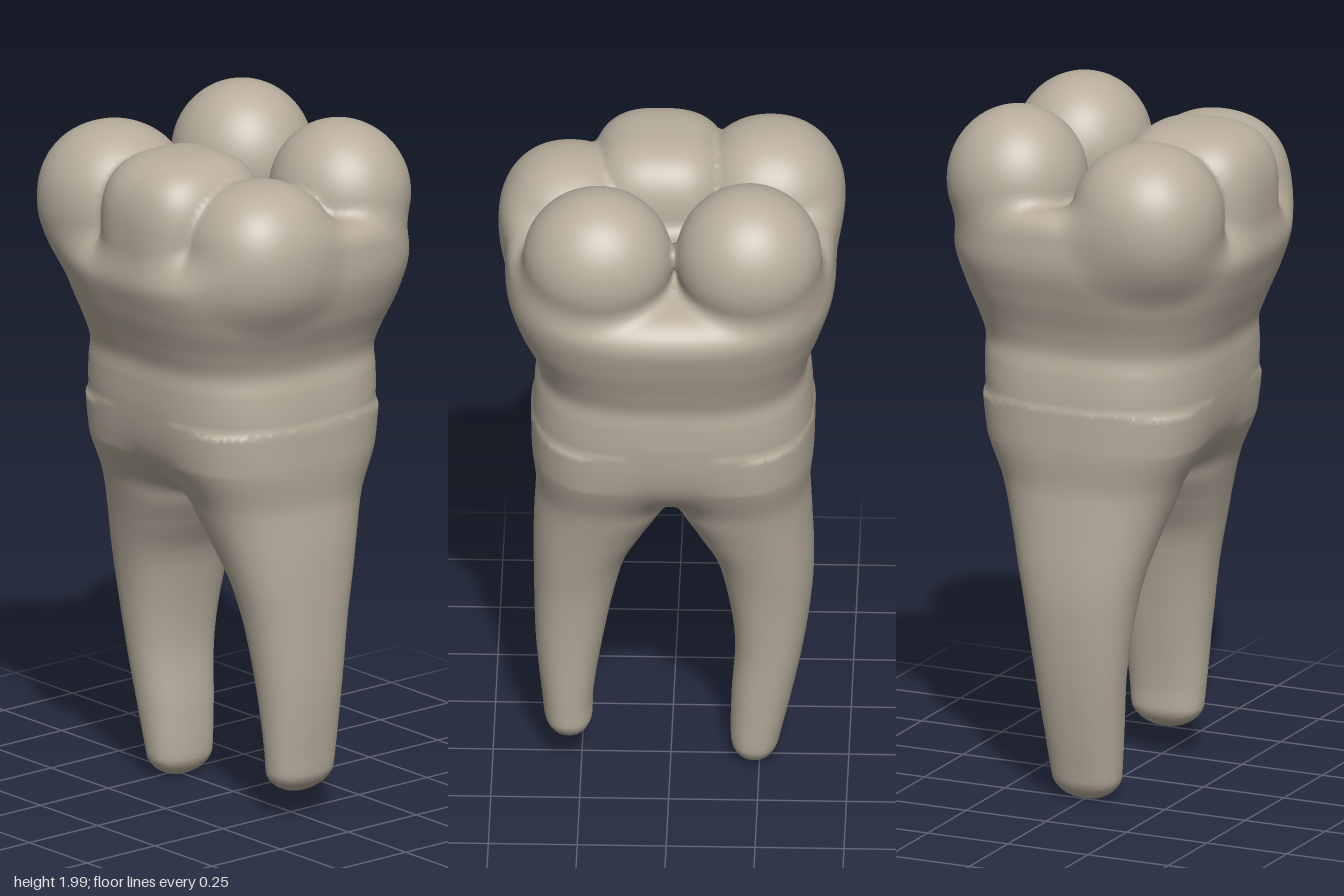
import * as THREE from 'three';

const enamel = new THREE.MeshStandardMaterial({ color: 0xb8ad9d });
enamel.name = 'warm ivory grey';

// Smooth blends between shapes
const smin = (a, b, k) => {
  const h = Math.max(k - Math.abs(a - b), 0) / k;
  return Math.min(a, b) - h * h * k * 0.25;
};
const smax = (a, b, k) => -smin(-a, -b, k);

// Smooth profile along the height, rows of [y, centre x, half width, half depth]
const profile = (rows) => new THREE.CubicInterpolant(
  rows.map((r) => r[0]), rows.flatMap((r) => r.slice(1)), 3);

const trunk = profile([
  [0.85, -0.006, 0.385, 0.23], [1.0, -0.007, 0.385, 0.292], [1.1, -0.007, 0.39, 0.328],
  [1.2, -0.007, 0.393, 0.345], [1.28, -0.007, 0.387, 0.349], [1.34, -0.007, 0.378, 0.35],
  [1.4, -0.005, 0.393, 0.37], [1.5, 0, 0.434, 0.408], [1.6, 0, 0.463, 0.434],
  [1.7, 0, 0.462, 0.425], [1.8, 0, 0.45, 0.405],
]);
const roots = [
  { tip: 0.005, shape: profile([
    [0, -0.235, 0.058, 0.092], [0.06, -0.236, 0.067, 0.101], [0.2, -0.2525, 0.0825, 0.115],
    [0.4, -0.2775, 0.0975, 0.135], [0.6, -0.275, 0.125, 0.165], [0.7, -0.261, 0.141, 0.188],
    [0.8, -0.23, 0.168, 0.216], [0.9, -0.2, 0.193, 0.248], [1.05, -0.195, 0.19, 0.298],
  ]) },
  { tip: 0.08, shape: profile([
    [0.07, 0.283, 0.054, 0.095], [0.13, 0.287, 0.066, 0.105], [0.2, 0.29, 0.071, 0.112],
    [0.4, 0.285, 0.095, 0.132], [0.6, 0.267, 0.118, 0.162], [0.7, 0.252, 0.134, 0.186],
    [0.8, 0.222, 0.163, 0.214], [0.9, 0.19, 0.19, 0.246], [1.05, 0.185, 0.188, 0.296],
  ]) },
];

// Cusps: centre, radii, roundness exponent
const backCusps = [
  { c: [-0.225, 1.79, -0.222], r: [0.205, 0.21, 0.198], n: 2 },
  { c: [0.2, 1.78, -0.222], r: [0.21, 0.205, 0.193], n: 2 },
];
const frontCusps = [
  { c: [-0.275, 1.735, 0.208], r: [0.21, 0.218, 0.213], n: 2.15 },
  { c: [0.035, 1.73, 0.217], r: [0.2, 0.213, 0.212], n: 2.8 },
  { c: [0.287, 1.69, 0.145], r: [0.2, 0.205, 0.212], n: 2.2 },
];

const oval = (x, z, [cx, a, b], n) =>
  (Math.abs((x - cx) / a) ** n + Math.abs(z / b) ** n) ** (1 / n);

const cuspField = (x, y, z, { c, r, n }) => ((
  Math.abs((x - c[0]) / r[0]) ** n + Math.abs((y - c[1]) / r[1]) ** n
  + Math.abs((z - c[2]) / r[2]) ** n) ** (1 / n) - 1) * 0.2;

// Negative inside the tooth, positive outside
function field(x, y, z) {
  // crown wall and neck, with a dished chewing surface on top
  const s = trunk.evaluate(y);
  let f = (oval(x, z, s, 2.8) - 1) * Math.min(s[1], s[2]);
  f = smax(f, y - (1.72 + 0.3 * x * x - 0.35 * z * z), 0.09);
  f = smax(f, 0.94 - y, 0.14);

  // two tapering roots with rounded tips
  if (y < 1.3) {
    const [r0, r1] = roots.map(({ tip, shape }) => {
      const e = shape.evaluate(y);
      const q = oval(x, z, e, 2.3);
      const wall = (q - 1) * Math.min(e[1], e[2]);
      return Math.max(smax(wall, tip + 0.03 * q * q - y, 0.035), y - 1.15);
    });
    f = smin(f, smin(r0, r1, 0.07), 0.05);
  }

  // cusps, parted by narrow grooves
  if (y > 1.3) {
    const join = (list, k) => list.map((u) => cuspField(x, y, z, u)).reduce((a, b) => smin(a, b, k));
    const cusps = smin(join(backCusps, 0.03), join(frontCusps, 0.015), 0.03);
    f = smin(f, cusps, 0.045);
  }
  return f;
}

const gradient = ([x, y, z]) => {
  const e = 0.004;
  return [
    (field(x + e, y, z) - field(x - e, y, z)) / (2 * e),
    (field(x, y + e, z) - field(x, y - e, z)) / (2 * e),
    (field(x, y, z + e) - field(x, y, z - e)) / (2 * e),
  ];
};

// Skin the field with an even quad mesh
function skin() {
  const step = 0.016;
  const min = [-0.544, -0.04, -0.496];
  const size = [69, 132, 63];
  const stride = [1, size[0], size[0] * size[1]];
  const values = new Float32Array(size[0] * size[1] * size[2]);
  const cells = new Int32Array(values.length).fill(-1);
  const positions = [], normals = [], quads = [];

  const each = (from, fn) => {
    for (let k = from; k < size[2] - 1; k++)
      for (let j = from; j < size[1] - 1; j++)
        for (let i = from; i < size[0] - 1; i++) fn([i, j, k], i + j * stride[1] + k * stride[2]);
  };
  for (let id = 0; id < values.length; id++) {
    const i = id % size[0], j = Math.floor(id / stride[1]) % size[1], k = Math.floor(id / stride[2]);
    values[id] = field(min[0] + i * step, min[1] + j * step, min[2] + k * step);
  }

  // one vertex in each cell the surface crosses, pulled onto the surface
  each(0, (cell, id) => {
    const sum = [0, 0, 0];
    let count = 0;
    for (let c = 0; c < 8; c++) {
      const bit = [c & 1, (c >> 1) & 1, (c >> 2) & 1];
      const a = values[id + bit[0] + bit[1] * stride[1] + bit[2] * stride[2]];
      for (let d = 0; d < 3; d++) {
        if (bit[d]) continue;
        const b = values[id + bit[0] + bit[1] * stride[1] + bit[2] * stride[2] + stride[d]];
        if ((a < 0) === (b < 0)) continue;
        for (let m = 0; m < 3; m++) sum[m] += m === d ? a / (a - b) : bit[m];
        count++;
      }
    }
    if (!count) return;
    const p = sum.map((v, m) => min[m] + (cell[m] + v / count) * step);
    for (let pass = 0; pass < 2; pass++) {
      const g = gradient(p);
      const t = field(...p) / Math.max(g[0] ** 2 + g[1] ** 2 + g[2] ** 2, 0.05);
      g.forEach((v, m) => { p[m] -= THREE.MathUtils.clamp(v * t, -step / 3, step / 3); });
    }
    cells[id] = positions.length / 3;
    positions.push(...p);
    normals.push(...new THREE.Vector3(...gradient(p)).normalize().toArray());
  });

  // one quad around each grid edge that crosses the surface
  each(1, (cell, id) => {
    for (let d = 0; d < 3; d++) {
      const inside = values[id] < 0;
      if (inside === (values[id + stride[d]] < 0)) continue;
      const u = stride[(d + 1) % 3], v = stride[(d + 2) % 3];
      const q = [id - u - v, id - v, id, id - u].map((n) => cells[n]);
      quads.push(inside ? q : q.reverse());
    }
  });
  return { positions, normals, quads };
}

export function createModel() {
  const group = new THREE.Group();
  group.name = 'molarTooth';
  const { positions, normals, quads } = skin();
  const position = new THREE.Float32BufferAttribute(positions, 3);
  const normal = new THREE.Float32BufferAttribute(normals, 3);

  // crown above the neck line, roots below it
  const addPart = (name, keep) => {
    const geometry = new THREE.BufferGeometry();
    geometry.setAttribute('position', position);
    geometry.setAttribute('normal', normal);
    geometry.setIndex(quads.filter((q) => keep(positions[q[0] * 3 + 1]))
      .flatMap(([a, b, c, d]) => [a, b, c, a, c, d]));
    const mesh = new THREE.Mesh(geometry, enamel);
    mesh.name = name;
    group.add(mesh);
  };
  addPart('crown', (y) => y >= 1.34);
  addPart('roots', (y) => y < 1.34);
  return group;
}
